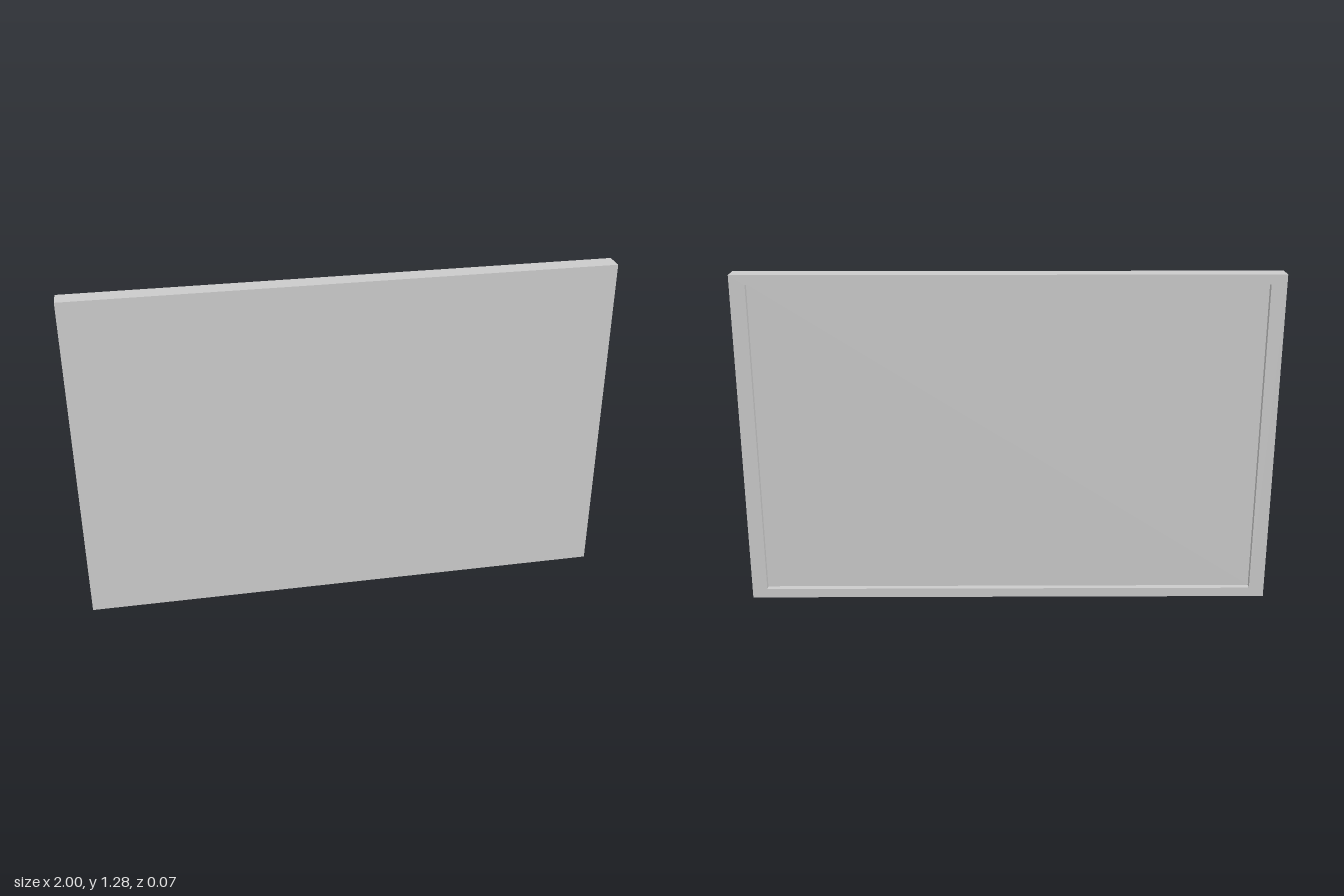
import * as THREE from 'three';

// Flat rectangular panel with a shallow recess in its back, leaving a raised rim.
const WIDTH = 2, HEIGHT = 1.276, HALF_DEPTH = 0.036;
const RIM_SCALE = 0.943;    // recess outline relative to the outer outline
const RECESS_DEPTH = 0.024;

export function createModel() {
  const group = new THREE.Group();
  group.name = 'wallPanel';

  // Four-sided profile: recess floor, recess wall, rim, outer side, front face
  const floor = -HALF_DEPTH + RECESS_DEPTH;
  const profile = [
    [0, floor],
    [RIM_SCALE, floor],
    [RIM_SCALE, -HALF_DEPTH],
    [1, -HALF_DEPTH],
    [1, HALF_DEPTH],
    [0, HALF_DEPTH],
  ].map(([r, z]) => new THREE.Vector2(r * Math.SQRT2, z));

  // Square sweep turned to face +z, then stretched to the panel's proportions
  const geometry = new THREE.LatheGeometry(profile, 4, Math.PI / 4)
    .rotateX(Math.PI / 2)
    .scale(WIDTH / 2, HEIGHT / 2, 1)
    .translate(0, HEIGHT / 2, 0)
    .toNonIndexed();
  geometry.computeVertexNormals();

  const panel = new THREE.Mesh(
    geometry,
    new THREE.MeshStandardMaterial({ color: 0xcccccc, flatShading: true })
  );
  panel.name = 'panelWithRecessedBack';
  group.add(panel);
  return group;
}
